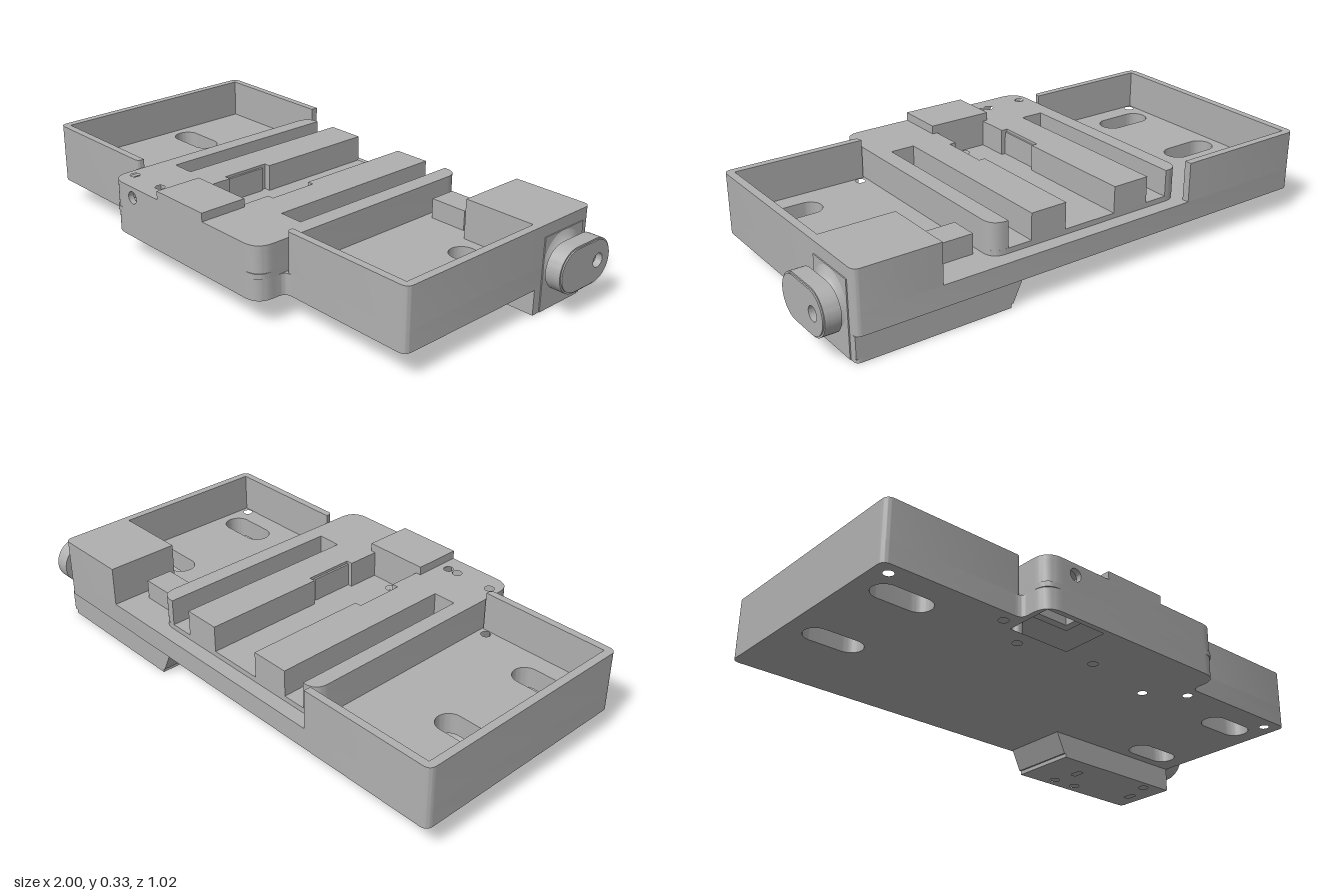
import * as THREE from 'three';
import { toCreasedNormals } from 'three/addons/utils/BufferGeometryUtils.js';

const grey = new THREE.MeshStandardMaterial({ color: 0xb0b0b0 });
grey.name = 'moulded grey';

// Closed outline from [x, z, cornerRadius] points; z is stored negated for slab()
function trace(path, pts) {
  const v = pts.map(([x, z]) => new THREE.Vector2(x, -z));
  pts.forEach(([, , r = 0], i) => {
    const p = v[i];
    const a = v[(i + v.length - 1) % v.length].clone().sub(p).setLength(r).add(p);
    const b = v[(i + 1) % v.length].clone().sub(p).setLength(r).add(p);
    if (i === 0) path.moveTo(a.x, a.y); else path.lineTo(a.x, a.y);
    if (r > 0) path.quadraticCurveTo(p.x, p.y, b.x, b.y);
  });
  path.closePath();
  return path;
}

const rect = (x0, z0, x1, z1, r = 0) => [[x0, z0, r], [x1, z0, r], [x1, z1, r], [x0, z1, r]];

function roundHole(x, z, r = 0.018) {
  return new THREE.Path().absarc(x, -z, r, 0, Math.PI * 2, true);
}

// Obround path centred on (x, z), along x
function obround(path, x, z, length, width) {
  const r = width / 2, h = length / 2 - r;
  path.absarc(x + h, -z, r, -Math.PI / 2, Math.PI / 2, false);
  path.absarc(x - h, -z, r, Math.PI / 2, Math.PI * 1.5, false);
  path.closePath();
  return path;
}

export function createModel() {
  const model = new THREE.Group();

  function add(name, geometry) {
    const mesh = new THREE.Mesh(toCreasedNormals(geometry, 0.5), grey);
    mesh.name = name;
    model.add(mesh);
    return mesh;
  }

  function extrude(shape, depth) {
    return new THREE.ExtrudeGeometry(shape, { depth, bevelEnabled: false, curveSegments: 12 });
  }

  // Horizontal layer between y0 and y1
  function slab(name, pts, y0, y1, holes = []) {
    const shape = trace(new THREE.Shape(), pts);
    shape.holes.push(...holes);
    const g = extrude(shape, y1 - y0);
    g.rotateX(-Math.PI / 2);
    g.translate(0, y0, 0);
    return add(name, g);
  }

  const pocket = () => trace(new THREE.Path(), rect(-0.44, 0.31, -0.19, 0.49));
  const pinHoles = () => [[-0.355, 0.245], [0.25, 0.245], [-0.055, 0.3]].map(([x, z]) => roundHole(x, z));

  // Base plate with mounting slots and screw holes
  const slots = [];
  for (const x of [-0.823, 0.72])
    for (const z of [-0.15, 0.24]) slots.push(obround(new THREE.Path(), x, z, 0.225, 0.1));
  const screws = [-0.945, -0.495, 0.39, 0.837].map((x) => roundHole(x, 0.34));
  slab('basePlate', [
    [-1, -0.515, 0.03], [0.9, -0.515, 0.03], [0.9, 0.39, 0.03], [0.36, 0.39, 0.03],
    [0.36, 0.51, 0.07], [-0.46, 0.51, 0.07], [-0.46, 0.39, 0.03], [-1, 0.39, 0.03],
  ], 0.095, 0.175, [...slots, ...screws, ...pinHoles(), pocket()]);

  // Central block: channel floor, grooved body, grooved top
  slab('channelFloor', rect(-0.46, -0.46, 0.36, 0.51, 0.058), 0.175, 0.195, [...pinHoles(), pocket()]);
  const back = -0.46;
  const groovedOutline = [
    [-0.46, back, 0.055], [-0.4, back], [-0.4, 0.265], [-0.31, 0.265], [-0.31, back],
    [-0.16, back], [-0.16, 0.01], [-0.185, 0.01], [-0.185, 0.2], [-0.16, 0.2], [-0.16, 0.325],
    [0.055, 0.325], [0.055, 0.2], [0.08, 0.2], [0.08, 0.01], [0.055, 0.01], [0.055, back],
    [0.2, back], [0.2, 0.265], [0.295, 0.265], [0.295, back], [0.36, back, 0.06],
    [0.36, 0.51, 0.07],
  ];
  const cornerEnd = [-0.46, 0.51, 0.07];
  // the body is open at the front where the drilled panel sits
  slab('grooveBody', [
    ...groovedOutline, [-0.24, 0.51], [-0.24, 0.49], [-0.19, 0.49], [-0.19, 0.31],
    [-0.44, 0.31], [-0.44, 0.485], [-0.38, 0.485], [-0.38, 0.51], cornerEnd,
  ], 0.195, 0.28);
  slab('grooveTop', [...groovedOutline, cornerEnd], 0.28, 0.295,
    [-0.42, -0.265, -0.222].map((x) => roundHole(x, 0.435)));

  // Slim tabs standing in the slits beside the channel
  for (const x of [-0.181, 0.076])
    slab('slitTab', rect(x - 0.004, 0.03, x + 0.004, 0.2), 0.195, 0.285);

  // Drilled front panel
  const panel = new THREE.Shape([
    new THREE.Vector2(-0.38, 0.195), new THREE.Vector2(-0.24, 0.195),
    new THREE.Vector2(-0.24, 0.28), new THREE.Vector2(-0.38, 0.28),
  ]);
  panel.holes.push(roundHole(-0.333, -0.253, 0.024));
  add('frontPanel', extrude(panel, 0.022).translate(0, 0, 0.488));

  // Raised cap at the front of the channel
  slab('frontCap', rect(-0.18, 0.325, 0.075, 0.51), 0.295, 0.327);

  // Tray walls
  slab('leftTrayWall', [
    [-0.465, -0.515], [-0.465, -0.487], [-0.97, -0.487], [-0.97, 0.362], [-0.465, 0.362],
    [-0.465, 0.39, 0.02], [-1, 0.39, 0.03], [-1, -0.515, 0.03],
  ], 0.175, 0.325);
  slab('rightTrayWall', [
    [0.365, 0.362], [0.87, 0.362], [0.87, -0.245], [0.9, -0.245], [0.9, 0.39, 0.03], [0.365, 0.39, 0.02],
  ], 0.175, 0.325);

  // Corner housing and the small block beside it
  slab('cornerHousing', [
    [0.585, -0.515], [0.9, -0.515, 0.03], [0.9, -0.24], [0.585, -0.24],
  ], 0.175, 0.325);
  slab('smallBlock', rect(0.39, -0.395, 0.54, -0.29), 0.175, 0.25);

  // Underside housing with sloped end and drilled cover
  const foot = new THREE.Shape([
    new THREE.Vector2(0.308, 0.015), new THREE.Vector2(0.9, 0.015),
    new THREE.Vector2(0.9, 0.095), new THREE.Vector2(0.27, 0.095),
  ]);
  add('lowerHousing', extrude(foot, 0.27).translate(0, 0, -0.507));
  slab('lowerCover', [
    [0.315, -0.507], [0.9, -0.507, 0.02], [0.9, -0.237], [0.315, -0.237],
  ], 0, 0.015, [
    roundHole(0.8, -0.28, 0.02), roundHole(0.46, -0.46, 0.02), roundHole(0.57, -0.46, 0.02),
    trace(new THREE.Path(), rect(0.825, -0.42, 0.85, -0.37)),
    trace(new THREE.Path(), rect(0.465, -0.37, 0.49, -0.32)),
  ]);

  // Side plate behind the knob
  slab('sidePlate', rect(0.899, -0.475, 0.904, -0.27), 0.002, 0.28);

  // Knob: flared neck and obround grip with a dimple
  const neck = new THREE.LatheGeometry([
    [0, 0], [0.1, 0], [0.1, 0.004], [0.08, 0.012], [0.068, 0.025], [0.07, 0.036], [0.08, 0.045], [0, 0.045],
  ].map(([r, y]) => new THREE.Vector2(r, y)), 40);
  neck.rotateZ(-Math.PI / 2).translate(0.9, 0.178, -0.37);
  add('knobNeck', neck);

  function grip(name, x0, x1, length, width, hole) {
    const shape = obround(new THREE.Shape(), 0.37, -0.178, length, width);
    if (hole) shape.holes.push(roundHole(0.437, -0.178, 0.026));
    add(name, extrude(shape, x1 - x0).rotateY(Math.PI / 2).translate(x0, 0, 0));
  }
  grip('knobBack', 0.938, 0.975, 0.272, 0.168, false);
  grip('knobFace', 0.975, 0.995, 0.272, 0.168, true);
  grip('knobRim', 0.995, 1, 0.26, 0.156, true);

  return model;
}
